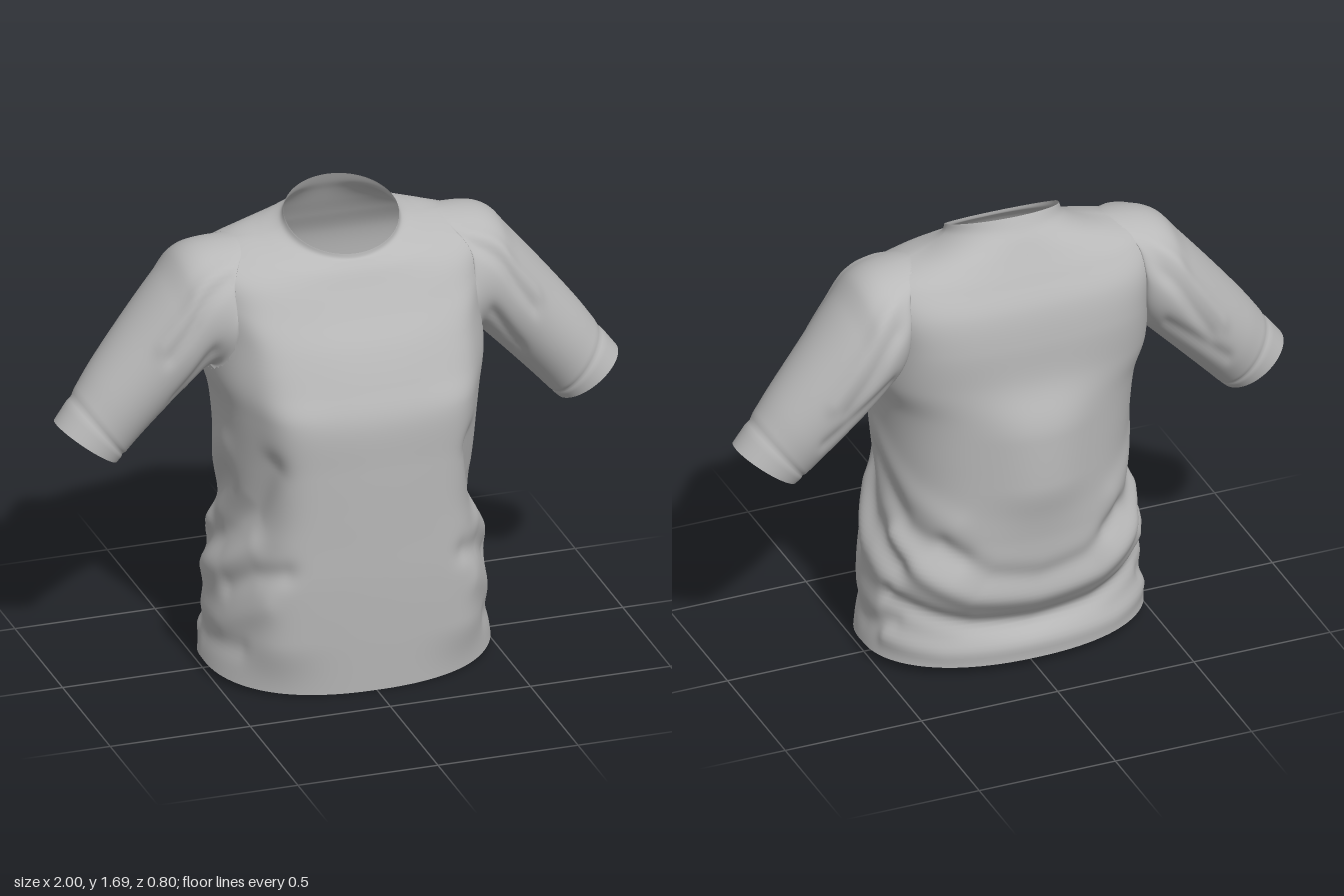
import * as THREE from 'three';

const fabric = new THREE.MeshStandardMaterial({ color: 0xb9b9b9, side: THREE.DoubleSide });
fabric.name = 'grey fabric';

// Smoothly samples a table of ring parameters at t in 0..1
function sample(rows, t) {
  const f = t * (rows.length - 1), i = Math.min(Math.floor(f), rows.length - 2), k = f - i;
  const row = (j) => rows[Math.max(0, Math.min(rows.length - 1, j))];
  return rows[0].map((_, c) => {
    const [a, b, d, e] = [row(i - 1)[c], row(i)[c], row(i + 1)[c], row(i + 2)[c]];
    return b + 0.5 * k * (d - a + k * (2 * a - 5 * b + 4 * d - e + k * (3 * (b - d) + e - a)));
  });
}

// Open tube through rings; point(t, angle) gives each vertex, hole(t, angle) marks openings
function loft(name, rings, sides, point, hole = () => false) {
  const pos = [], index = [], open = [];
  for (let r = 0; r <= rings; r++) {
    for (let s = 0; s < sides; s++) {
      const t = r / rings, angle = (s / sides) * Math.PI * 2;
      pos.push(...point(t, angle));
      open.push(hole(t, angle));
    }
  }
  const face = (...f) => { if (!f.every((v) => open[v])) index.push(...f); };
  for (let r = 0; r < rings; r++) {
    for (let s = 0; s < sides; s++) {
      const a = r * sides + s, b = r * sides + (s + 1) % sides;
      face(a, a + sides, b);
      face(b, a + sides, b + sides);
    }
  }
  const g = new THREE.BufferGeometry();
  g.setAttribute('position', new THREE.Float32BufferAttribute(pos, 3));
  g.setIndex(index);
  g.computeVertexNormals();
  const mesh = new THREE.Mesh(g, fabric);
  mesh.name = name;
  return mesh;
}

// Cloth folds: each is [height, width, u0, v0, u1, v1, ...] along a polyline
function foldHeight(folds, u, v, scale) {
  let sum = 0;
  for (const [height, width, ...p] of folds) {
    let best = Infinity;
    for (let i = 0; i + 3 < p.length; i += 2) {
      const dx = (p[i + 2] - p[i]) * scale, dy = p[i + 3] - p[i + 1];
      const px = (u - p[i]) * scale, py = v - p[i + 1];
      const k = THREE.MathUtils.clamp((px * dx + py * dy) / (dx * dx + dy * dy), 0, 1);
      best = Math.min(best, Math.hypot(px - k * dx, py - k * dy));
    }
    sum += height * Math.exp(-((best / width) ** 2));
  }
  return sum;
}

// Body rings: half width, side y, front z, front y, back z, back y, side z,
// front squareness, back squareness
const bodyRings = [
  [0.505, 0.04, 0.36, 0.0, -0.31, 0.03, 0.0, 2.3, 2.2],
  [0.485, 0.2, 0.375, 0.2, -0.3, 0.19, 0.0, 2.3, 2.3],
  [0.475, 0.4, 0.387, 0.4, -0.355, 0.36, 0.0, 2.3, 2.3],
  [0.445, 0.55, 0.392, 0.55, -0.365, 0.54, 0.0, 2.3, 2.2],
  [0.43, 0.66, 0.396, 0.67, -0.365, 0.66, 0.0, 2.3, 2.2],
  [0.44, 0.82, 0.4, 0.83, -0.365, 0.82, 0.0, 2.3, 2.2],
  [0.455, 1.0, 0.4, 1.0, -0.358, 1.0, 0.0, 2.4, 2.4],
  [0.48, 1.12, 0.362, 1.12, -0.343, 1.13, -0.03, 2.5, 2.8],
  [0.475, 1.29, 0.31, 1.24, -0.34, 1.28, -0.05, 2.7, 3.3],
  [0.485, 1.43, 0.25, 1.34, -0.322, 1.4, -0.07, 2.8, 3.2],
  [0.47, 1.52, 0.205, 1.42, -0.28, 1.49, -0.07, 2.8, 2.7],
  [0.38, 1.553, 0.175, 1.475, -0.245, 1.555, -0.06, 2.6, 2.4],
  [0.28, 1.568, 0.152, 1.505, -0.215, 1.61, -0.04, 2.3, 2.1],
  [0.215, 1.59, 0.143, 1.515, -0.19, 1.65, -0.02, 2, 2],
  [0.2, 1.62, 0.14, 1.53, -0.17, 1.69, -0.015, 2, 2],
];

// Body folds: u in degrees from front (0) to back (180), v is height; mirrored
const bodyFolds = [
  [0.03, 0.12, 38, 0.2, 37, 0.6, 36, 1.02],
  [0.012, 0.1, 38, 1.2, 40, 1.3],
  [-0.024, 0.06, 48, 0.84, 62, 0.66, 85, 0.5, 112, 0.41],
  [0.014, 0.055, 60, 0.53, 82, 0.41, 112, 0.33],
  [-0.016, 0.045, 38, 0.46, 55, 0.43, 72, 0.36],
  [0.008, 0.05, 45, 0.33, 75, 0.22, 100, 0.21],
  [-0.008, 0.04, 60, 0.15, 90, 0.13, 115, 0.18],
  [0.01, 0.06, 85, 0.85, 115, 0.68, 140, 0.6],
  [-0.014, 0.05, 85, 0.72, 115, 0.55, 145, 0.47],
  [0.02, 0.045, 105, 0.5, 130, 0.4, 155, 0.31, 180, 0.28],
  [-0.024, 0.035, 108, 0.28, 130, 0.24, 155, 0.19, 180, 0.17],
  [0.014, 0.04, 110, 0.12, 145, 0.09, 180, 0.09],
  [-0.012, 0.04, 135, 0.52, 160, 0.41, 180, 0.38],
  [0.035, 0.14, 180, 0.75, 180, 0.93],
];

function bodyPoint(t, angle) {
  const [w, ys, zf, yf, zb, yb, zc, nf, nb] = sample(bodyRings, t);
  const c = Math.cos(angle), s = Math.sin(angle);
  const [n, zEnd, yEnd] = s > 0 ? [nf, zf, yf] : [nb, zb, yb];
  const k = Math.abs(s) ** (2 / n);
  const x = w * Math.sign(c) * Math.abs(c) ** (2 / n);
  const z = zc + (zEnd - zc) * k;
  const y = ys + (yEnd - ys) * k ** (n / 2);
  const u = THREE.MathUtils.radToDeg(Math.acos(THREE.MathUtils.clamp(s, -1, 1)));
  const h = foldHeight(bodyFolds, u, y, 0.0075);
  const r = Math.hypot(x, z) || 1;
  return [x + (x / r) * h, y, z + (z / r) * h];
}

// Armhole: an oval on the body surface, in loft coordinates
const armhole = { t: 0.65, height: 0.15, angle: 0.6 };
const inArmhole = (t, angle) =>
  Math.hypot((t - armhole.t) / armhole.height, Math.asin(Math.sin(angle)) / armhole.angle) < 1;

// Sleeve rings: top x, top y, bottom x, bottom y, front z, back z
const sleeveRings = [
  [0.39, 1.555, 0.46, 1.14, 0.165, -0.285],
  [0.53, 1.537, 0.49, 1.112, 0.14, -0.3],
  [0.625, 1.435, 0.565, 1.035, 0.122, -0.29],
  [0.75, 1.285, 0.655, 0.94, 0.09, -0.26],
  [0.86, 1.145, 0.72, 0.87, 0.068, -0.23],
  [0.93, 1.045, 0.765, 0.82, 0.055, -0.205],
  [1.0, 0.95, 0.79, 0.795, 0.05, -0.19],
];

// Sleeve folds: u in degrees (0 top, 90 front, 270 back), v along the sleeve
const sleeveFolds = [
  [0.008, 0.03, 40, 0.08, 55, 0.25, 62, 0.42],
  [-0.009, 0.03, 55, 0.08, 72, 0.25, 80, 0.4],
  [-0.01, 0.04, 120, 0.18, 135, 0.4],
  [0.008, 0.035, 310, 0.15, 285, 0.5],
  [-0.01, 0.04, 285, 0.15, 262, 0.45],
  [-0.01, 0.04, 235, 0.2, 250, 0.6],
  [-0.006, 0.02, 0, 0.85, 360, 0.85],
];

// The sleeve leaves the armhole edge and eases into its own rings
function sleevePoint(side) {
  return (t, turn) => {
    const angle = -side * turn, c = Math.cos(angle), s = Math.sin(angle);
    const [tx, ty, bx, by, zf, zb] = sample(sleeveRings, t);
    const u = (THREE.MathUtils.radToDeg(angle) + 360) % 360;
    const grow = 1 + foldHeight(sleeveFolds, u, t, 0.004) / 0.17;
    const tube = new THREE.Vector3(
      (tx + bx) / 2 + ((tx - bx) / 2) * c * grow,
      (ty + by) / 2 + ((ty - by) / 2) * c * grow,
      (zf + zb) / 2 + ((zf - zb) / 2) * s * grow,
    );
    const edge = bodyPoint(armhole.t + armhole.height * c, armhole.angle * s);
    tube.lerp(new THREE.Vector3(...edge), (1 - Math.min(1, t / 0.24)) ** 2);
    return [tube.x * side, tube.y, tube.z];
  };
}

export function createModel() {
  const shirt = new THREE.Group();
  shirt.name = 'shirt';
  shirt.add(loft('body', 150, 200, bodyPoint, inArmhole));
  shirt.add(loft('leftSleeve', 60, 80, sleevePoint(1)));
  shirt.add(loft('rightSleeve', 60, 80, sleevePoint(-1)));
  return shirt;
}
